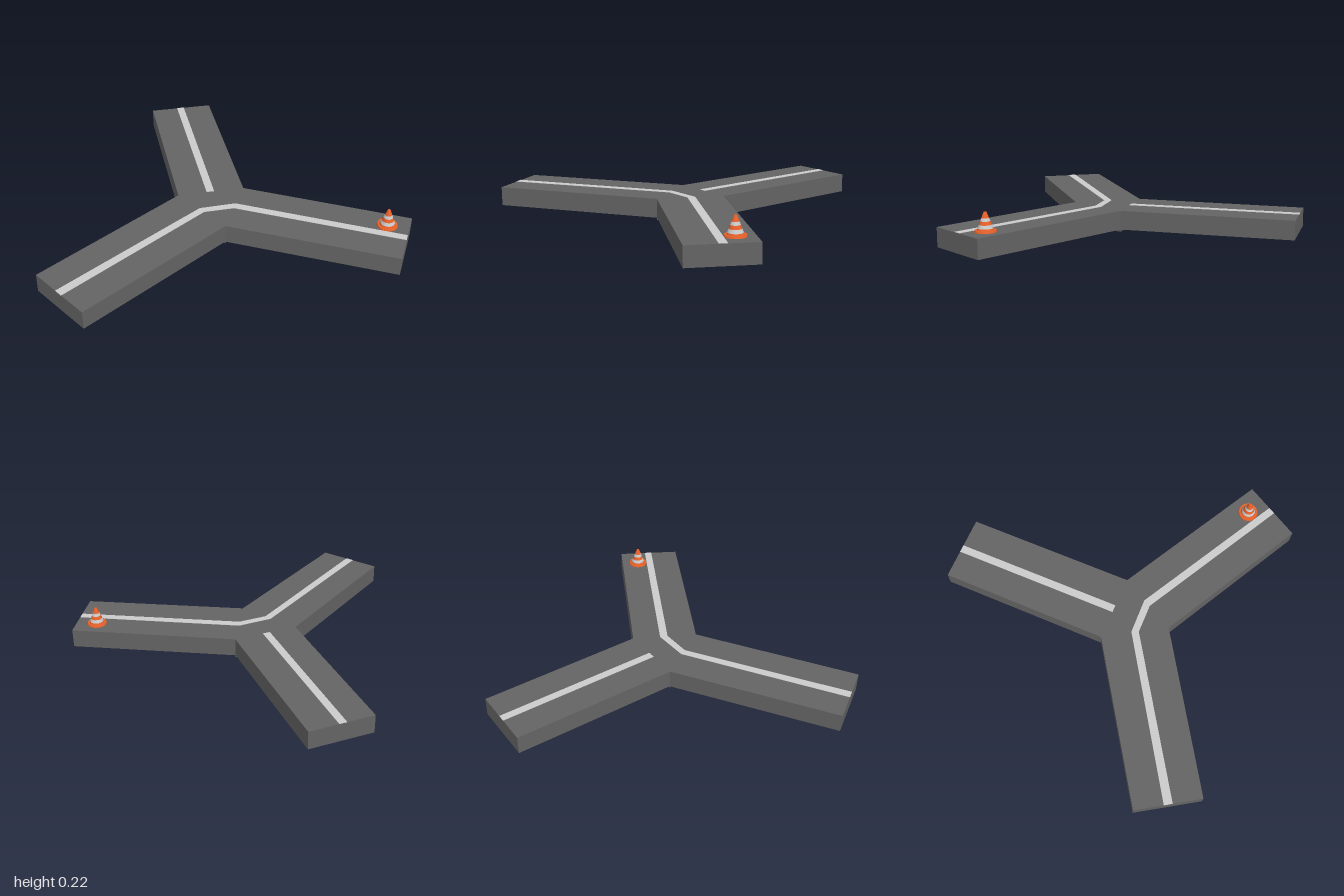
import * as THREE from 'three';

const material = (color) => new THREE.MeshStandardMaterial({ color });

export function createModel() {
  const model = new THREE.Group();
  const asphalt = material(0x646464);
  const paint = material(0xcccccc);
  const orange = material(0xe8622a);
  const white = material(0xdddddd);

  // Upright slab from a plan outline of [x, z] corners
  function slab(name, outline, bottom, top, mat) {
    const shape = new THREE.Shape(outline.map(([x, z]) => new THREE.Vector2(x, -z)));
    const geometry = new THREE.ExtrudeGeometry(shape, { depth: top - bottom, bevelEnabled: false });
    geometry.rotateX(-Math.PI / 2).translate(0, bottom, 0);
    const mesh = new THREE.Mesh(geometry, mat);
    mesh.name = name;
    model.add(mesh);
  }

  // Junction corners shared by the three roads
  const backLeft = [0.17, 0.05], backRight = [-0.2, 0.05], front = [0, 0.375];
  slab('junction', [backLeft, backRight, front], 0, 0.118, asphalt);
  slab('backRoad', [backRight, [-0.21, -0.9], [0.155, -0.9], backLeft], 0.013, 0.118, asphalt);
  slab('leftRoad', [backLeft, [0.997, 0.5], [0.822, 0.813], front], 0.013, 0.118, asphalt);
  slab('rightRoad', [front, [-0.797, 0.897], [-1, 0.583], backRight], 0.013, 0.118, asphalt);

  // Painted centre lines
  slab('backLine', [[-0.053, -0.9], [-0.01, -0.9], [0.003, 0.05], [-0.04, 0.05]], 0.115, 0.12, paint);
  slab('throughLine', [
    [-0.912, 0.72], [-0.105, 0.193], [0.095, 0.187], [0.92, 0.635],
    [0.9, 0.672], [0.078, 0.228], [-0.088, 0.231], [-0.886, 0.76],
  ], 0.115, 0.12, paint);

  // Traffic cone: round foot and alternating bands
  const cone = new THREE.Group();
  cone.name = 'trafficCone';
  cone.position.set(0.845, 0.118, 0.53);
  const foot = new THREE.Mesh(new THREE.CylinderGeometry(0.053, 0.056, 0.009, 24), orange);
  foot.name = 'coneFoot';
  foot.position.y = 0.0045;
  cone.add(foot);
  const levels = [0.009, 0.018, 0.036, 0.054, 0.07, 0.1];
  const radiusAt = (y) => 0.042 - (y - 0.009) * 0.38;
  for (let i = 0; i < levels.length - 1; i++) {
    const y0 = levels[i], y1 = levels[i + 1];
    const last = i === levels.length - 2;
    const band = new THREE.Mesh(
      new THREE.CylinderGeometry(radiusAt(y1), radiusAt(y0), y1 - y0, 24, 1, !last),
      i % 2 ? white : orange,
    );
    band.name = 'coneBand';
    band.position.y = (y0 + y1) / 2;
    cone.add(band);
  }
  model.add(cone);
  return model;
}
